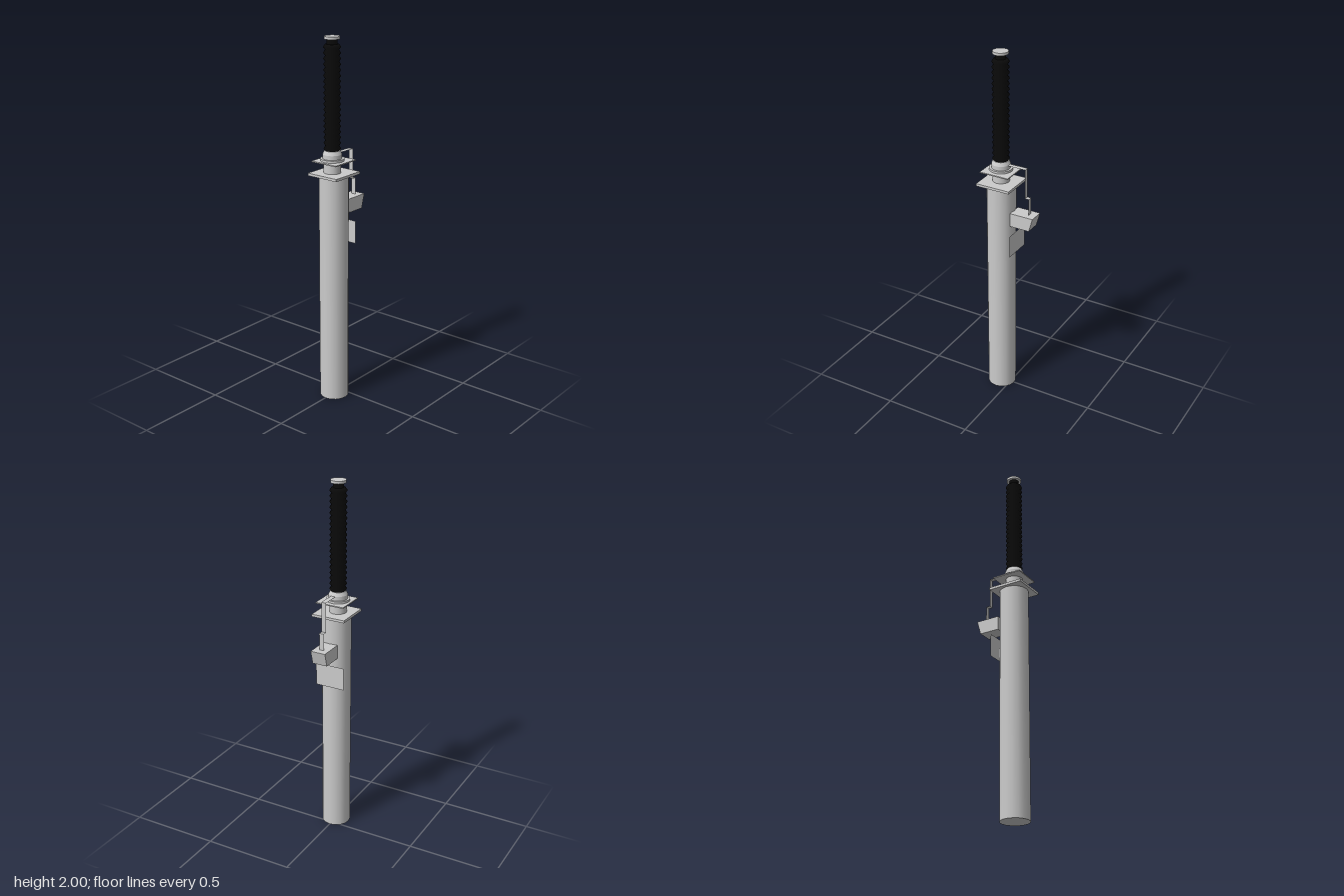
import * as THREE from 'three';

export function createModel() {
  const model = new THREE.Group();
  const grey = new THREE.MeshStandardMaterial({ color: 0xcccccc });
  const sheet = new THREE.MeshStandardMaterial({ color: 0xcccccc, side: THREE.DoubleSide });
  const black = new THREE.MeshStandardMaterial({ color: 0x0a0a0a });
  const CX = -0.006, CZ = 0.06; // axis of the upper stack

  function add(name, geometry, material, x, y, z) {
    const mesh = new THREE.Mesh(geometry, material);
    mesh.name = name;
    mesh.position.set(x, y, z);
    model.add(mesh);
    return mesh;
  }
  // Upright cylinder given by its bottom and top heights
  function cylinder(name, rTop, rBottom, y0, y1, x, z, sides, material = grey) {
    return add(name, new THREE.CylinderGeometry(rTop, rBottom, y1 - y0, sides), material, x, (y0 + y1) / 2, z);
  }

  // Main column and square flanges
  cylinder('column', 0.079, 0.079, 0, 1.28, 0, 0.055, 16);
  add('lowerFlange', new THREE.BoxGeometry(0.192, 0.014, 0.196), grey, 0, 1.283, 0.055);
  add('upperFlange', new THREE.BoxGeometry(0.163, 0.006, 0.167), grey, -0.001, 1.352, 0.055);

  // Neck, collar and sleeve
  cylinder('neck', 0.046, 0.046, 1.288, 1.355, CX, CZ, 24);
  cylinder('collarDisc', 0.063, 0.063, 1.355, 1.367, CX, CZ, 32);
  cylinder('sleeve', 0.051, 0.051, 1.367, 1.39, CX, CZ, 24);
  cylinder('sleeveTaper', 0.042, 0.051, 1.39, 1.41, CX, CZ, 24);

  // Ribbed bellows
  const ribs = 19, bottom = 1.405, top = 1.96, pitch = (top - bottom) / ribs;
  const profile = [new THREE.Vector2(0, bottom), new THREE.Vector2(0.036, bottom)];
  for (let i = 0; i < ribs; i++) {
    profile.push(new THREE.Vector2(0.046, bottom + (i + 0.5) * pitch));
    profile.push(new THREE.Vector2(0.036, bottom + (i + 1) * pitch));
  }
  profile.push(new THREE.Vector2(0, top));
  add('bellows', new THREE.LatheGeometry(profile, 14), black, CX, 0, CZ);
  cylinder('rod', 0.027, 0.027, 1.95, 1.987, CX, CZ, 16, black);
  cylinder('topCap', 0.041, 0.041, 1.986, 2, CX, CZ, 24);

  // Bent strip arm: path of (z, y) points swept across its width
  const path = [[0.015, 1.39], [-0.092, 1.39], [-0.092, 1.225], [-0.115, 1.225], [-0.115, 1.125]];
  const arm = new THREE.Group();
  arm.name = 'bracketArm';
  for (let i = 0; i + 1 < path.length; i++) {
    const [z0, y0] = path[i], [z1, y1] = path[i + 1];
    const strip = new THREE.Mesh(new THREE.PlaneGeometry(0.027, Math.hypot(z1 - z0, y1 - y0)), sheet);
    strip.name = 'armStrip';
    strip.position.set(-0.0035, (y0 + y1) / 2, (z0 + z1) / 2);
    if (y0 === y1) strip.rotation.x = -Math.PI / 2;
    arm.add(strip);
  }
  model.add(arm);

  // Housing with a slanted rear face, extruded sideways
  const side = new THREE.Shape();
  side.moveTo(0.02, 1.055);
  side.lineTo(0.133, 1.055);
  side.lineTo(0.154, 1.132);
  side.lineTo(0.02, 1.132);
  const housing = new THREE.ExtrudeGeometry(side, { depth: 0.085, bevelEnabled: false });
  housing.rotateY(Math.PI / 2); // shape x becomes -z, depth becomes +x
  add('housing', housing, grey, -0.045, 0, 0);

  // Flat plate behind the column
  add('backPlate', new THREE.PlaneGeometry(0.166, 0.127), sheet, -0.008, 0.948, -0.036);

  return model;
}
